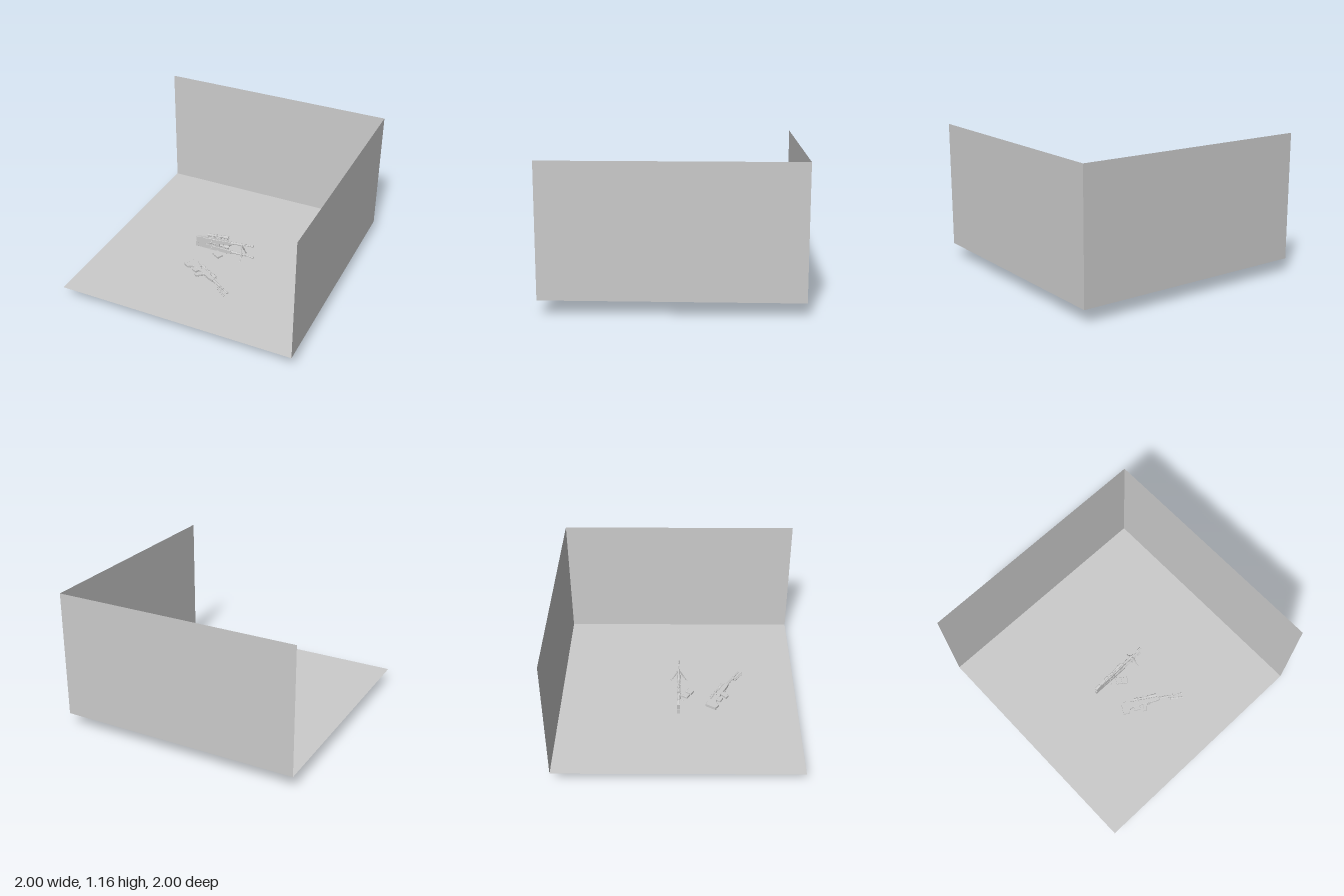
import * as THREE from 'three';

const mat = new THREE.MeshStandardMaterial({ color: 0xcccccc, flatShading: true });
const sheetMat = new THREE.MeshStandardMaterial({ color: 0xcccccc, side: THREE.DoubleSide });
const FLOOR = 0.115;

function add(parent, name, geometry, x = 0, y = 0, z = 0) {
  const mesh = new THREE.Mesh(geometry, mat);
  mesh.name = name;
  mesh.position.set(x, y, z);
  parent.add(mesh);
  return mesh;
}

// Side outline extruded to a plate centred on z = 0
function plate(points, width, bevel = 0.002) {
  const shape = new THREE.Shape(points.map(p => new THREE.Vector2(...p)));
  const depth = width - 2 * bevel;
  return new THREE.ExtrudeGeometry(shape, {
    depth, bevelThickness: bevel, bevelSize: bevel, bevelOffset: -bevel, bevelSegments: 1,
  }).translate(0, 0, -depth / 2);
}

// Round bar between two points
function bar(parent, name, from, to, r0, r1 = r0, sides = 8) {
  const a = new THREE.Vector3(...from), b = new THREE.Vector3(...to);
  const dir = b.clone().sub(a);
  const mesh = add(parent, name, new THREE.CylinderGeometry(r1, r0, dir.length(), sides));
  mesh.position.copy(a).add(b).multiplyScalar(0.5);
  mesh.quaternion.setFromUnitVectors(new THREE.Vector3(0, 1, 0), dir.normalize());
  return mesh;
}

function scope(lift) {
  const g = new THREE.Group();
  g.name = 'scope';
  const profile = [[0, -0.1], [0.011, -0.1], [0.012, -0.07], [0.007, -0.058], [0.007, 0.035],
    [0.014, 0.06], [0.014, 0.1], [0.011, 0.1], [0.011, 0.094], [0, 0.094]];
  const tube = new THREE.LatheGeometry(profile.map(p => new THREE.Vector2(...p)), 12);
  add(g, 'scopeTube', tube.rotateZ(-Math.PI / 2));
  add(g, 'elevationTurret', new THREE.CylinderGeometry(0.006, 0.006, 0.012, 8), -0.01, 0.011);
  add(g, 'windageTurret', new THREE.CylinderGeometry(0.006, 0.006, 0.012, 8).rotateX(Math.PI / 2), -0.01, 0, 0.01);
  for (const x of [-0.04, 0.022]) {
    add(g, 'scopeRing', new THREE.CylinderGeometry(0.009, 0.009, 0.012, 10).rotateZ(Math.PI / 2), x);
    add(g, 'scopeMount', new THREE.BoxGeometry(0.012, lift - 0.022, 0.01), x, -(lift - 0.022) / 2 - 0.004);
  }
  g.position.set(-0.325, lift, 0);
  return g;
}

function bipod(folded) {
  const g = new THREE.Group();
  g.name = 'bipod';
  add(g, 'bipodHub', new THREE.BoxGeometry(0.02, 0.016, 0.018), 0, -0.008);
  for (const s of [-1, 1]) {
    const tip = folded ? [0.105, -0.035, s * 0.012] : [0, -0.132, s * 0.068];
    const hip = folded ? [0, -0.025, s * 0.01] : [0, -0.012, s * 0.006];
    const knee = hip.map((v, i) => v + (tip[i] - v) * 0.55);
    bar(g, 'bipodUpperLeg', hip, knee, 0.006);
    bar(g, 'bipodLowerLeg', knee, tip, 0.004);
    add(g, 'bipodFoot', new THREE.SphereGeometry(0.0075, 8, 6), ...tip);
  }
  g.position.x = -0.112;
  return g;
}

function magazineGeometry(height) {
  return plate([[-0.028, 0], [0.024, 0], [0.028, -height], [-0.024, -height - 0.004]], 0.02);
}

// Rifle with the muzzle at the origin, pointing along +x
function rifle(name, { lift, folded = false }) {
  const g = new THREE.Group();
  g.name = name;

  // Stock and receiver
  add(g, 'stock', plate([[-0.53, 0.022], [-0.49, 0.03], [-0.45, 0.018], [-0.36, 0.018],
    [-0.36, -0.026], [-0.44, -0.032], [-0.472, -0.045], [-0.484, -0.078], [-0.53, -0.078]], 0.022));
  add(g, 'buttPad', new THREE.BoxGeometry(0.012, 0.096, 0.024), -0.532, -0.028);
  add(g, 'cheekRest', new THREE.BoxGeometry(0.06, 0.01, 0.018), -0.455, 0.026);
  add(g, 'receiver', plate([[-0.38, 0.016], [-0.21, 0.014], [-0.2, -0.014], [-0.25, -0.022],
    [-0.38, -0.026]], 0.026));
  add(g, 'rail', new THREE.BoxGeometry(0.17, 0.005, 0.012), -0.315, 0.0175);
  for (let i = 0; i < 9; i++) {
    add(g, 'railTooth', new THREE.BoxGeometry(0.008, 0.004, 0.012), -0.391 + i * 0.019, 0.021);
  }

  // Grip, trigger and magazine
  add(g, 'grip', plate([[-0.352, -0.02], [-0.312, -0.02], [-0.326, -0.05], [-0.336, -0.088],
    [-0.37, -0.084], [-0.36, -0.052]], 0.02));
  add(g, 'triggerGuard', new THREE.TorusGeometry(0.016, 0.0025, 5, 12, Math.PI).rotateZ(Math.PI), -0.3, -0.022);
  bar(g, 'trigger', [-0.303, -0.02, 0], [-0.3, -0.034, 0], 0.002);
  add(g, 'magazine', magazineGeometry(0.042), -0.412, -0.02);

  // Bolt handle
  bar(g, 'boltHandle', [-0.385, 0.004, 0.01], [-0.392, -0.006, 0.034], 0.003);
  add(g, 'boltKnob', new THREE.SphereGeometry(0.006, 8, 6), -0.392, -0.006, 0.036);

  // Barrel
  bar(g, 'handguard', [-0.22, 0, 0], [-0.105, 0, 0], 0.012, 0.009);
  bar(g, 'barrel', [-0.12, 0, 0], [-0.01, 0, 0], 0.006, 0.005);
  bar(g, 'muzzleBrake', [-0.035, 0, 0], [0, 0, 0], 0.008);
  add(g, 'gasBlock', new THREE.BoxGeometry(0.012, 0.02, 0.012), -0.075, 0.002);

  g.add(scope(lift), bipod(folded));
  return g;
}

export function createModel() {
  const model = new THREE.Group();
  model.name = 'rifleDisplay';

  // Floor and two walls
  const height = 1.045;
  const sheet = (name, geometry, x, y, z) => { add(model, name, geometry, x, y, z).material = sheetMat; };
  sheet('floor', new THREE.PlaneGeometry(2, 2).rotateX(-Math.PI / 2), 0, FLOOR, 0);
  sheet('backWall', new THREE.PlaneGeometry(2, height), 0, FLOOR + height / 2, -1);
  sheet('sideWall', new THREE.PlaneGeometry(2, height).rotateY(-Math.PI / 2), 1, FLOOR + height / 2, 0);

  // Level rifle, partly below the floor
  const level = rifle('levelRifle', { lift: 0.036 });
  level.position.set(0.252, 0.14, 0);

  // Rifle standing on its bipod and stock
  const standing = rifle('standingRifle', { lift: 0.05 });
  standing.position.set(0.252, 0.256, 0);
  standing.rotation.z = 0.125;

  // Rifle lying on its side
  const lying = rifle('lyingRifle', { lift: 0.034, folded: true });
  lying.position.set(0.255, FLOOR + 0.016, 0.522);
  lying.rotation.set(-Math.PI / 2, -0.54, 0, 'YXZ');
  model.add(level, standing, lying);

  // Two spare magazines flat on the floor
  for (const [x, y, z] of [[-0.064, 0.011, 0.06], [-0.03, 0.025, 0.095]]) {
    const spare = add(model, 'spareMagazine', magazineGeometry(0.054).translate(0, 0.028, 0), x, FLOOR + y, z);
    spare.rotation.set(-Math.PI / 2, -0.6, 0, 'YXZ');
  }
  return model;
}
